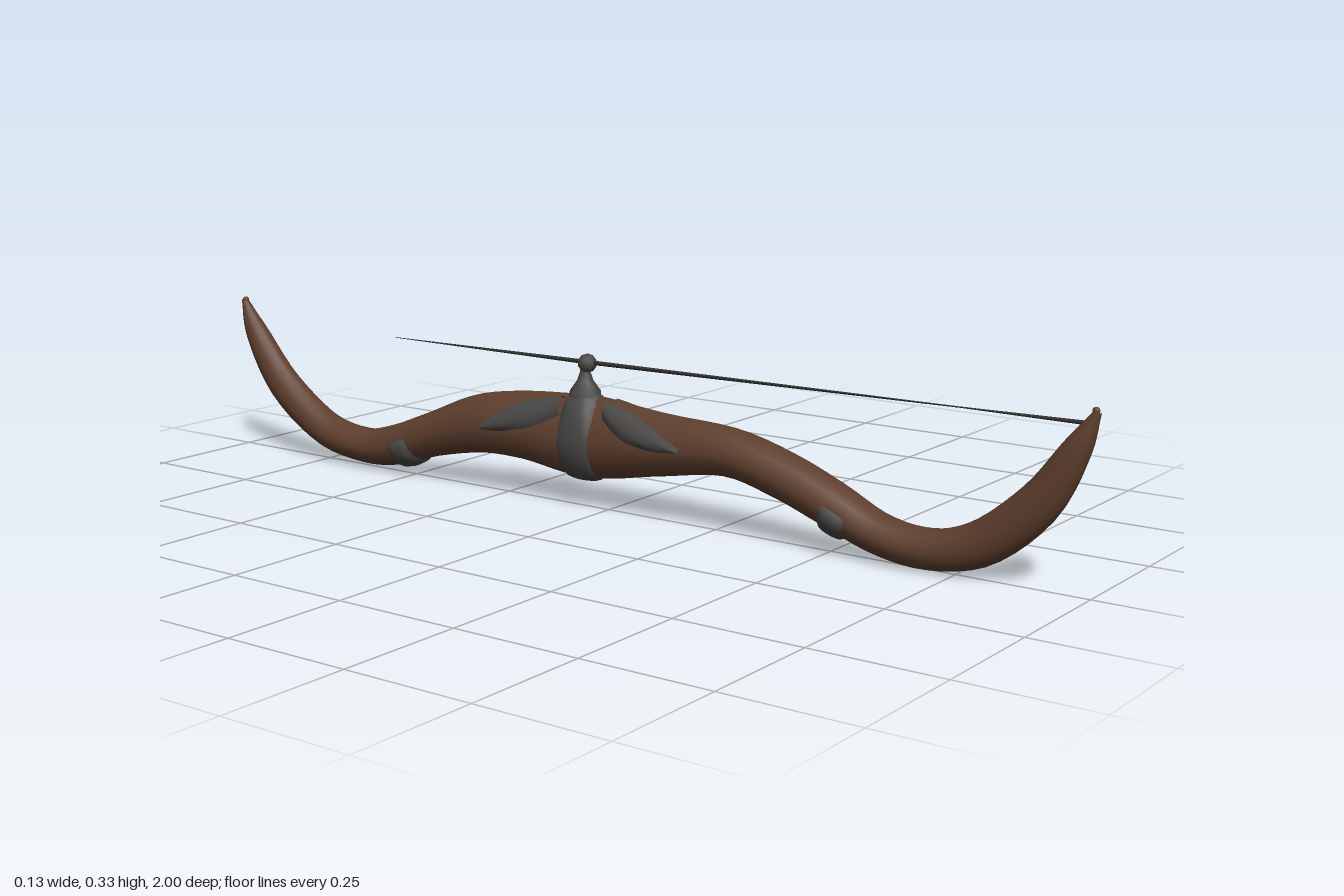
import * as THREE from 'three';
import { mergeVertices } from 'three/addons/utils/BufferGeometryUtils.js';

const wood = new THREE.MeshStandardMaterial({ color: 0x5f3f2e, name: 'wood' });
const leather = new THREE.MeshStandardMaterial({ color: 0x4a4846, side: THREE.DoubleSide, name: 'leather' });
const cord = new THREE.MeshStandardMaterial({ color: 0x343232, name: 'cord' });

// Bow spine: z, y, half thickness, half width
const stations = [
  [0.997, 0.325, 0.006, 0.007], [0.962, 0.255, 0.026, 0.023], [0.9, 0.155, 0.039, 0.031],
  [0.8, 0.07, 0.041, 0.036], [0.7, 0.042, 0.037, 0.041], [0.6, 0.053, 0.037, 0.044],
  [0.5, 0.093, 0.042, 0.047], [0.4, 0.13, 0.044, 0.048], [0.28, 0.158, 0.046, 0.05],
  [0.12, 0.152, 0.063, 0.05], [0, 0.147, 0.08, 0.048], [-0.08, 0.144, 0.082, 0.048],
  [-0.2, 0.147, 0.07, 0.05], [-0.32, 0.135, 0.06, 0.05], [-0.45, 0.096, 0.046, 0.047],
  [-0.56, 0.058, 0.042, 0.045], [-0.65, 0.048, 0.036, 0.042], [-0.76, 0.07, 0.037, 0.037],
  [-0.88, 0.15, 0.038, 0.031], [-0.96, 0.255, 0.026, 0.023], [-0.997, 0.328, 0.006, 0.007],
];
const curve = (f) => new THREE.CatmullRomCurve3(stations.map(f), false, 'catmullrom', 0.5);
const spine = curve(([z, y]) => new THREE.Vector3(0, y, z));
const size = curve(([, , h, w]) => new THREE.Vector3(w, h, 0));

// Curve parameter at a given z
function paramAt(z) {
  let lo = 0, hi = 1;
  for (let i = 0; i < 30; i++) {
    const mid = (lo + hi) / 2;
    if (spine.getPoint(mid).z > z) lo = mid; else hi = mid;
  }
  return lo;
}

// Point on the bow surface, raised by an offset; the grip narrows to a ridge on top
function surfacePoint(t, a, raise) {
  const c = spine.getPoint(t), s = size.getPoint(t), d = spine.getTangent(t);
  const ridge = 0.5 * Math.exp(-Math.pow((c.z + 0.04) / 0.24, 4));
  const up = Math.max(0, Math.sin(a));
  const x = Math.cos(a) * (s.x * (1 - ridge * up) + raise);
  const n = Math.sin(a) * (s.y + raise);
  return [x, c.y - d.z * n, c.z + d.y * n];
}

// Patch over the bow surface: angles(u) gives the angular range, raise(u, v, a) the offset
function patch(name, material, z0, z1, nu, nv, angles, raise) {
  const t0 = paramAt(z0), t1 = paramAt(z1), pos = [], index = [];
  for (let i = 0; i <= nu; i++) {
    const u = i / nu, [a0, a1] = angles(u);
    for (let j = 0; j <= nv; j++) {
      const v = j / nv, a = a0 + (a1 - a0) * v;
      pos.push(...surfacePoint(t0 + (t1 - t0) * u, a, raise(u, v, a)));
      if (i < nu && j < nv) {
        const p = i * (nv + 1) + j, q = p + nv + 1;
        index.push(p, q, p + 1, q, q + 1, p + 1);
      }
    }
  }
  let geometry = new THREE.BufferGeometry();
  geometry.setAttribute('position', new THREE.Float32BufferAttribute(pos, 3));
  geometry.setIndex(index);
  geometry = mergeVertices(geometry, 1e-5);
  geometry.computeVertexNormals();
  const mesh = new THREE.Mesh(geometry, material);
  mesh.name = name;
  return mesh;
}

export function createModel() {
  const bow = new THREE.Group();
  bow.name = 'bow';
  const add = (name, geometry, material, x, y, z) => {
    const mesh = new THREE.Mesh(geometry, material);
    mesh.name = name;
    mesh.position.set(x, y, z);
    bow.add(mesh);
    return mesh;
  };
  const full = () => [0, Math.PI * 2];

  // Curved wooden limbs and grip, with rounded tips
  bow.add(patch('bowBody', wood, 1, -1, 90, 16, full, () => 0));
  for (const [y, z] of [[0.325, 0.993], [0.327, -0.993]])
    add('limbTip', new THREE.SphereGeometry(0.007, 8, 6), wood, 0, y, z);

  // Leather wrap round the grip, with bulging shoulders
  bow.add(patch('gripWrap', leather, -0.012, -0.102, 8, 20, full, (u, v, a) => {
    const shoulder = Math.sin(a) > 0 ? Math.pow(Math.sin(2 * a), 2) : 0;
    const edge = Math.pow(Math.sin(Math.PI * u), 0.4);
    return -0.006 + edge * (0.012 + 0.014 * shoulder);
  }));

  // Leaf-shaped leather flaps running down from the wrap, on both sides
  for (const [z0, z1] of [[0.01, 0.2], [-0.1, -0.28]]) {
    for (const side of [1, -1]) {
      const near = Math.max(z0, z1), far = Math.min(z0, z1);
      bow.add(patch('leatherFlap', leather, near, far, 12, 6, (u) => {
        const s = z0 > 0 || z1 > 0 ? 1 - u : u; // 0 at the wrap, 1 at the tip
        const mid = 0.85 - 0.85 * s;
        const half = 0.05 + 0.42 * Math.pow(Math.sin(Math.PI * (0.2 + 0.8 * s)), 0.8);
        const lo = mid - half, hi = mid + half;
        return side > 0 ? [lo, hi] : [Math.PI - hi, Math.PI - lo];
      }, (u, v) => -0.003 + 0.016 * Math.sqrt(Math.sin(Math.PI * v))));
    }
  }

  // Leather straps under each limb
  for (const z of [0.525, -0.515]) {
    bow.add(patch('limbStrap', leather, z + 0.028, z - 0.028, 6, 14,
      (u) => [Math.PI - 0.3, Math.PI * 2 + 0.3],
      (u, v) => -0.003 + 0.012 * Math.pow(Math.sin(Math.PI * u) * Math.sin(Math.PI * v), 0.3)));
  }

  // Post and knot holding the string
  const profile = [[0.034, 0.2], [0.03, 0.235], [0.016, 0.255], [0.01, 0.272], [0.009, 0.285]];
  add('stringPost', new THREE.LatheGeometry(profile.map(([r, y]) => new THREE.Vector2(r, y)), 10),
    leather, 0, 0, -0.057);
  add('stringKnot', new THREE.IcosahedronGeometry(0.019, 1), leather, 0, 0.289, -0.052);

  // Thin string: thick at the knot and the limb tip, fading to a point
  const string = [[0.985, 0.303, 0.004], [0.75, 0.301, 0.0012], [-0.05, 0.291, 0.0045], [-0.55, 0.288, 0.0006]];
  for (let i = 0; i < 3; i++) {
    const [z0, y0, r0] = string[i], [z1, y1, r1] = string[i + 1];
    const dir = new THREE.Vector3(0, y1 - y0, z1 - z0);
    const piece = add('string', new THREE.CylinderGeometry(r1, r0, dir.length(), 6), cord,
      0, (y0 + y1) / 2, (z0 + z1) / 2);
    piece.quaternion.setFromUnitVectors(new THREE.Vector3(0, 1, 0), dir.normalize());
  }
  return bow;
}
